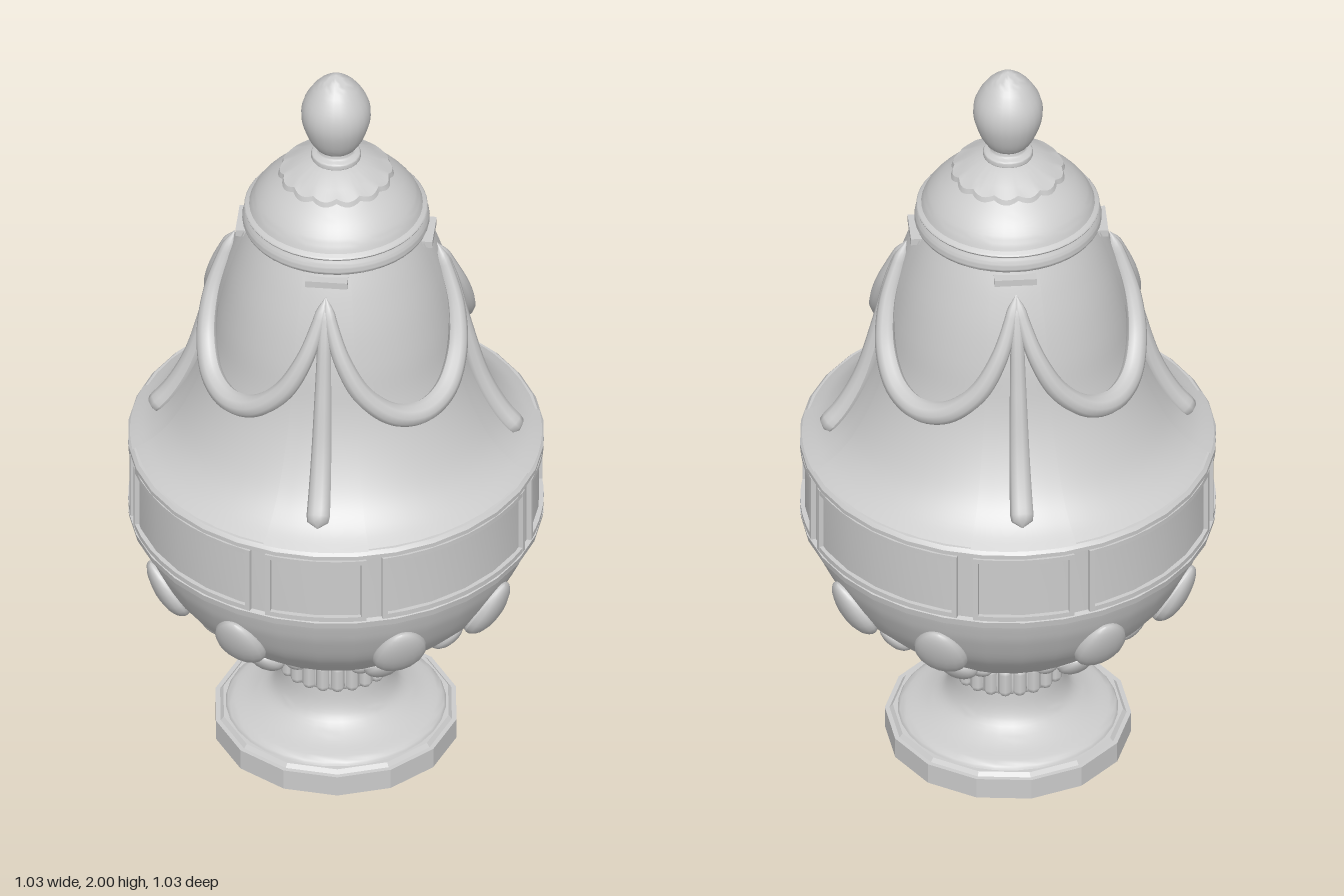
import * as THREE from 'three';
import { toCreasedNormals } from 'three/addons/utils/BufferGeometryUtils.js';

const DEG = Math.PI / 180;
const stone = new THREE.MeshStandardMaterial({ color: 0xcccccc });
const thin = new THREE.MeshStandardMaterial({ color: 0xcccccc, side: THREE.DoubleSide });

// Profiles as [radius, height], bottom to top
const bowlProfile = [[0.13, 0.28], [0.17, 0.3], [0.24, 0.34], [0.33, 0.405], [0.42, 0.495], [0.47, 0.585], [0.49, 0.64], [0.5, 0.68]];
const domeProfile = [[0.505, 0.9], [0.455, 0.93], [0.41, 0.975], [0.37, 1.04], [0.335, 1.12], [0.312, 1.2], [0.295, 1.3], [0.272, 1.4], [0.243, 1.49], [0.215, 1.56]];

const vecs = (pts) => pts.map(([r, y]) => new THREE.Vector2(r, y));
const smooth = (pts, n = 32) => new THREE.SplineCurve(vecs(pts)).getPoints(n);

// Radius of a profile at a given height
function radiusAt(pts, y) {
  const p = smooth(pts, 60);
  const i = Math.max(1, p.findIndex((q) => q.y >= y));
  const t = (y - p[i - 1].y) / (p[i].y - p[i - 1].y);
  return p[i - 1].x + t * (p[i].x - p[i - 1].x);
}

function add(parent, name, geometry, material = stone) {
  const mesh = new THREE.Mesh(geometry, material);
  mesh.name = name;
  parent.add(mesh);
  return mesh;
}

const lathe = (points, segs = 32, start = 0, length = Math.PI * 2) =>
  toCreasedNormals(new THREE.LatheGeometry(points, segs, start, length), 0.6);

// Tube whose radius varies along its length
function taperedTube(curve, segs, radial, radiusFn) {
  const g = new THREE.TubeGeometry(curve, segs, 1, radial);
  const pos = g.attributes.position;
  const v = new THREE.Vector3();
  for (let i = 0; i <= segs; i++) {
    const c = curve.getPointAt(i / segs);
    for (let j = 0; j <= radial; j++) {
      const k = i * (radial + 1) + j;
      v.fromBufferAttribute(pos, k).sub(c).multiplyScalar(radiusFn(i / segs)).add(c);
      pos.setXYZ(k, v.x, v.y, v.z);
    }
  }
  g.computeVertexNormals();
  return g;
}

// Point on the dome surface at an angle from +z, lifted outwards
function onDome(angle, y, lift) {
  const r = radiusAt(domeProfile, y) + lift;
  return new THREE.Vector3(r * Math.sin(angle * DEG), y, r * Math.cos(angle * DEG));
}

// Outlined panel on the band, centred on +z
function panelFrame(half) {
  const g = new THREE.Group();
  g.name = 'bandPanel';
  const [r0, r1, w] = [0.498, 0.514, 0.013];
  for (const y of [0.692, 0.864]) {
    add(g, 'panelRail', lathe(vecs([[r0, y], [r1, y], [r1, y + w], [r0, y + w]]), 8, -half * DEG, 2 * half * DEG), thin);
  }
  for (const s of [-1, 1]) {
    const stile = add(g, 'panelStile', new THREE.BoxGeometry(w, 0.185, 0.016));
    stile.position.set(0.506 * Math.sin(s * half * DEG), 0.7845, 0.506 * Math.cos(half * DEG));
    stile.rotation.y = s * half * DEG;
  }
  return g;
}

// Tapered boss lying on the bowl
function bossGeometry(w, h, d) {
  const g = new THREE.SphereGeometry(1, 16, 12);
  const p = g.attributes.position;
  for (let i = 0; i < p.count; i++) {
    const y = p.getY(i);
    const k = 1 - 0.2 * y;
    p.setXYZ(i, p.getX(i) * w * k, y * h, p.getZ(i) * d * k);
  }
  g.computeVertexNormals();
  return g;
}

export function createModel() {
  const urn = new THREE.Group();
  urn.name = 'urn';

  // Foot
  const plinth = new THREE.CylinderGeometry(0.305, 0.305, 0.056, 14);
  const flat = stone.clone();
  flat.flatShading = true;
  add(urn, 'plinth', plinth, flat).position.y = 0.028;
  add(urn, 'plinthStep', new THREE.CylinderGeometry(0.285, 0.295, 0.012, 14), flat).position.y = 0.06;
  add(urn, 'foot', lathe(smooth([[0.275, 0.062], [0.262, 0.078], [0.21, 0.095], [0.165, 0.122], [0.145, 0.16], [0.138, 0.21]], 20)));

  // Fluted collar
  add(urn, 'collarCore', lathe(smooth([[0.125, 0.195], [0.14, 0.205], [0.143, 0.24], [0.14, 0.28], [0.12, 0.3]], 16)));
  const rib = new THREE.CapsuleGeometry(0.018, 0.05, 4, 8);
  for (let i = 0; i < 24; i++) {
    const a = (i + 0.5) * 15 * DEG;
    add(urn, 'collarRib', rib).position.set(0.138 * Math.sin(a), 0.242, 0.138 * Math.cos(a));
  }

  // Bowl and its bosses
  add(urn, 'bowl', lathe(smooth(bowlProfile)));
  const rows = [[0.535, 0.068, 0.088, 0.035, 18.5], [0.4, 0.045, 0.048, 0.027, 18.5], [0.318, 0.029, 0.027, 0.02, 21]];
  for (const [y, w, h, d, angle] of rows) {
    const g = bossGeometry(w, h, d);
    const slope = (radiusAt(bowlProfile, y + 0.02) - radiusAt(bowlProfile, y - 0.02)) / 0.04;
    for (let q = 0; q < 4; q++) {
      for (const s of [-1, 1]) {
        const pivot = new THREE.Group();
        pivot.name = 'bowlBossPivot';
        pivot.rotation.y = (q * 90 + s * angle) * DEG;
        const boss = add(pivot, 'bowlBoss', g);
        boss.position.set(0, y, radiusAt(bowlProfile, y));
        boss.rotation.set(Math.atan(slope), 0, -s * 0.12);
        urn.add(pivot);
      }
    }
  }

  // Band with wide and narrow panels
  add(urn, 'band', lathe(vecs([
    [0.49, 0.67], [0.513, 0.67], [0.516, 0.688], [0.504, 0.692], [0.504, 0.878],
    [0.516, 0.882], [0.516, 0.893], [0.508, 0.902], [0.48, 0.904],
  ])));
  for (let i = 0; i < 8; i++) {
    const panel = panelFrame(i % 2 ? 13.5 : 25.5);
    panel.rotation.y = i * 45 * DEG;
    urn.add(panel);
  }

  // Dome
  add(urn, 'dome', lathe(smooth(domeProfile, 40), 48));

  // Straps, tablets, drops and festoons around the dome
  const strapProfile = smooth(domeProfile, 40).filter((p) => p.y < 1.54)
    .map((p) => new THREE.Vector2(p.x + 0.005, p.y + 0.002));
  const strap = lathe(strapProfile, 6, -15 * DEG, 30 * DEG);
  const drop = new THREE.CatmullRomCurve3(
    [[1.49, 0.012], [1.4, 0.015], [1.25, 0.016], [1.1, 0.016], [1.0, 0.014], [0.935, 0.008]].map(([y, l]) => onDome(0, y, l)));
  const dropGeo = taperedTube(drop, 36, 10, (t) =>
    (0.014 + 0.016 * t) * Math.sqrt(Math.max(0, 1 - Math.max(0, (t - 0.95) / 0.05) ** 2)) * Math.min(1, t * 20));
  const half = [[45, 1.5, 0.012], [41.5, 1.43, 0.016], [36, 1.34, 0.022], [27, 1.245, 0.023], [14, 1.178, 0.02]];
  const path = [...half.map(([a, y, l]) => onDome(-a, y, l)), onDome(0, 1.157, 0.018),
    ...half.slice().reverse().map(([a, y, l]) => onDome(a, y, l))];
  const festoonGeo = taperedTube(new THREE.CatmullRomCurve3(path), 64, 10, (t) =>
    Math.min(1, 25 * Math.min(t, 1 - t)) * (0.013 + 0.016 * Math.sin(Math.PI * t)));
  for (let q = 0; q < 4; q++) {
    const corner = new THREE.Group();
    corner.name = 'cornerOrnament';
    corner.rotation.y = (45 + q * 90) * DEG;
    add(corner, 'strap', strap, thin);
    const tablet = add(corner, 'tablet', new THREE.BoxGeometry(0.105, 0.018, 0.03));
    tablet.position.set(0, 1.53, 0.23);
    add(corner, 'drop', dropGeo);
    urn.add(corner);
    add(urn, 'festoon', festoonGeo).rotation.y = q * 90 * DEG;
  }

  // Lid
  add(urn, 'lidRim', lathe(smooth([[0.19, 1.545], [0.222, 1.547], [0.232, 1.562], [0.227, 1.582], [0.223, 1.59], [0.227, 1.597], [0.215, 1.605]], 28), 48));
  add(urn, 'lid', lathe(smooth([[0.217, 1.6], [0.203, 1.63], [0.175, 1.663], [0.135, 1.695], [0.085, 1.73], [0.05, 1.745]], 20), 48));

  // Scalloped cap on the lid
  const cap = new THREE.LatheGeometry(vecs([[0.128, 1.69], [0.142, 1.693], [0.138, 1.706], [0.11, 1.724], [0.08, 1.742], [0.055, 1.75]]), 84);
  const cp = cap.attributes.position;
  for (let i = 0; i < cp.count; i++) {
    const [x, y, z] = [cp.getX(i), cp.getY(i), cp.getZ(i)];
    if (y > 1.71) continue;
    const wave = Math.abs(Math.sin(7 * Math.atan2(x, z)));
    const k = 0.96 + 0.05 * wave;
    cp.setXYZ(i, x * k, y + 0.008 * (1 - wave), z * k);
  }
  add(urn, 'lidCap', toCreasedNormals(cap, 0.6), thin);

  // Finial
  add(urn, 'finialNeck', lathe(smooth([[0.055, 1.74], [0.062, 1.75], [0.06, 1.762], [0.046, 1.768], [0.042, 1.785]], 16), 24));
  add(urn, 'finialBud', lathe(smooth([
    [0.035, 1.775], [0.052, 1.785], [0.072, 1.82], [0.086, 1.87], [0.081, 1.915], [0.055, 1.96], [0.024, 1.988], [0, 2],
  ], 28), 24));
  return urn;
}
